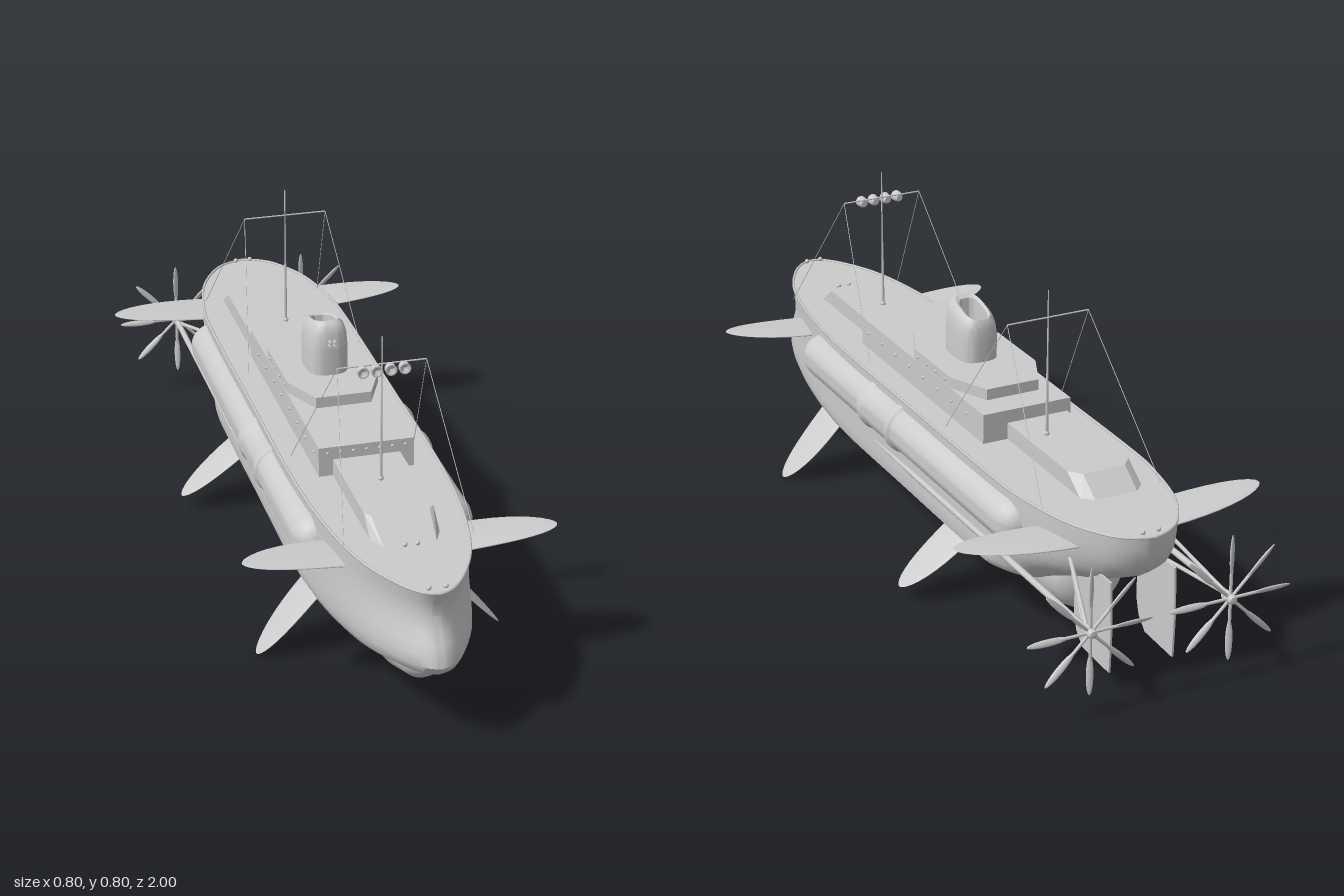
import * as THREE from 'three';
import { toCreasedNormals } from 'three/addons/utils/BufferGeometryUtils.js';
import { ConvexGeometry } from 'three/addons/geometries/ConvexGeometry.js';

const V = (x, y, z) => new THREE.Vector3(x, y, z);

// Skin stacked rings of equal point count, closed by a fan at each end
function loft(rings, crease = 0.7) {
  const n = rings[0].length, pos = [], idx = [];
  rings.forEach(r => r.forEach(p => pos.push(p.x, p.y, p.z)));
  for (let k = 0; k < rings.length - 1; k++) {
    for (let i = 0; i < n; i++) {
      const a = k * n + i, b = k * n + (i + 1) % n;
      idx.push(a, b, a + n, b, b + n, a + n);
    }
  }
  [[0, true], [rings.length - 1, false]].forEach(([k, flip]) => {
    const c = V(0, 0, 0);
    rings[k].forEach(p => c.addScaledVector(p, 1 / n));
    const ci = pos.length / 3;
    pos.push(c.x, c.y, c.z);
    for (let i = 0; i < n; i++) {
      const a = k * n + i, b = k * n + (i + 1) % n;
      if (flip) idx.push(ci, b, a); else idx.push(ci, a, b);
    }
  });
  const g = new THREE.BufferGeometry();
  g.setAttribute('position', new THREE.Float32BufferAttribute(pos, 3));
  g.setIndex(idx);
  return toCreasedNormals(g, crease);
}

// Body of revolution along z from [radius, z] points, z rising
function spun(profile, segs = 40) {
  const g = new THREE.LatheGeometry(profile.map(p => new THREE.Vector2(p[0], p[1])), segs);
  return toCreasedNormals(g.rotateX(Math.PI / 2), 0.6);
}

// Half outline of the deck, [half width, z] from bow to stern
const PLAN = [[0, 0.97], [0.035, 0.955], [0.078, 0.9], [0.125, 0.8], [0.157, 0.66], [0.175, 0.5], [0.183, 0.3],
  [0.183, 0], [0.183, -0.5], [0.172, -0.65], [0.142, -0.79], [0.09, -0.89], [0.045, -0.93], [0, -0.945]];

// Waterline ring with its own bow, stern and beam
function hullRing(y, bow, stern, beam) {
  const half = new THREE.SplineCurve(PLAN.map(p => new THREE.Vector2(p[0], p[1]))).getPoints(52);
  const fit = z => z > 0.3 ? 0.3 + (z - 0.3) * (bow - 0.3) / 0.67
    : z < -0.4 ? -0.4 + (z + 0.4) * (stern + 0.4) / -0.545 : z;
  const right = half.map(p => V(Math.max(0, p.x) * beam, y, fit(p.y)));
  const left = right.slice(1, -1).reverse().map(p => V(-p.x, y, p.z));
  return right.concat(left);
}

// Rounded-rectangle ring, optionally sloping in z
function roundRing(y, hx, hz, cz, slope = 0) {
  const pts = [], f = v => Math.sign(v) * Math.abs(v) ** 0.65;
  for (let i = 0; i < 40; i++) {
    const t = i / 40 * Math.PI * 2, z = cz + hz * f(Math.cos(t));
    pts.push(V(hx * f(Math.sin(t)), y + slope * (z + 0.03), z));
  }
  return pts;
}

// Flat-faced block between a lower and an upper outline of [half width, z]
function block(y0, low, y1, high) {
  const pts = [];
  low.forEach(([x, z]) => pts.push(V(x, y0, z), V(-x, y0, z)));
  high.forEach(([x, z]) => pts.push(V(x, y1, z), V(-x, y1, z)));
  return new ConvexGeometry(pts);
}

// Rounded blade from root to tip, swept slightly forward
function finGeometry(root, tip, chord, thick, sweep) {
  const d = tip.clone().sub(root), g = new THREE.SphereGeometry(1, 28, 20).rotateZ(-Math.PI / 2);
  const p = g.attributes.position, span = d.length();
  for (let i = 0; i < p.count; i++) {
    const x = p.getX(i), s = Math.max(x, 0);
    const full = Math.sqrt(Math.max(1e-9, 1 - x * x));
    const k = Math.max(0, 1 - s ** 2.6) ** 0.55 / full;
    p.setXYZ(i, x < 0 ? x * 0.02 : s * span, p.getY(i) * thick * (1 - 0.4 * s),
      p.getZ(i) * (x < 0 ? 1 : k) * chord / 2 + sweep * s * s);
  }
  g.computeVertexNormals();
  return g.rotateZ(Math.atan2(d.y, d.x)).translate(root.x, root.y, root.z);
}

export function createModel() {
  const model = new THREE.Group();
  const mat = new THREE.MeshStandardMaterial({ color: 0xcccccc, side: THREE.DoubleSide });
  const flat = new THREE.MeshStandardMaterial({ color: 0xcccccc, flatShading: true });
  const add = (name, geo, m = mat, parent = model) => {
    const mesh = new THREE.Mesh(geo, m);
    mesh.name = name;
    parent.add(mesh);
    return mesh;
  };
  const rod = (name, a, b, r0, r1 = r0, parent = model) => {
    const d = b.clone().sub(a);
    const mesh = add(name, new THREE.CylinderGeometry(r1, r0, d.length(), 8), mat, parent);
    mesh.position.copy(a).addScaledVector(d, 0.5);
    mesh.quaternion.setFromUnitVectors(V(0, 1, 0), d.normalize());
    return mesh;
  };
  const ball = (name, r, x, y, z) => add(name, new THREE.SphereGeometry(r, 12, 8)).position.set(x, y, z);

  // Hull with a bulging forefoot and a raked counter stern: y, bow, stern, beam
  const levels = [[0.14, 0.64, -0.58, 0.72], [0.147, 0.76, -0.61, 0.9], [0.158, 0.86, -0.63, 0.98], [0.175, 0.93, -0.66, 1],
    [0.195, 0.98, -0.7, 1], [0.22, 1, -0.76, 1], [0.245, 0.995, -0.83, 1], [0.27, 0.982, -0.88, 1],
    [0.295, 0.965, -0.912, 1], [0.33, 0.952, -0.935, 1], [0.365, 0.957, -0.943, 1], [0.395, 0.97, -0.945, 1]];
  add('hull', loft(levels.map(l => hullRing(...l))));
  const edge = new THREE.CatmullRomCurve3(hullRing(0.396, 0.969, -0.944, 0.995), true);
  add('deckRim', new THREE.TubeGeometry(edge, 200, 0.0035, 6, true));

  // Round pod under the keel, with its band
  add('keelPod', spun([[0, -0.685], [0.04, -0.683], [0.07, -0.672], [0.09, -0.65], [0.101, -0.61], [0.104, -0.56],
    [0.104, 0.14], [0.116, 0.145], [0.117, 0.165], [0.111, 0.18], [0.111, 0.33], [0.117, 0.345], [0.116, 0.365],
    [0.104, 0.37], [0.103, 0.58], [0.096, 0.68], [0.08, 0.78], [0.055, 0.86], [0.025, 0.9], [0, 0.91]])).position.y = 0.17;

  // Deckhouses
  add('foreHouse', block(0.39, [[0.083, 0.34], [0.083, 0.7], [0.062, 0.745]],
    0.437, [[0.083, 0.34], [0.083, 0.64], [0.07, 0.655]]), flat);
  add('aftHouse', block(0.39, [[0.081, -0.3], [0.081, -0.7], [0.055, -0.725]],
    0.437, [[0.081, -0.3], [0.081, -0.63], [0.055, -0.66]]), flat).position.x = -0.028;
  const mid = [[0.118, 0.365], [0.118, -0.33]];
  add('midHouse', block(0.39, mid, 0.47, mid), flat);
  const top = [[0.07, 0.155], [0.117, 0.05], [0.117, -0.15], [0.07, -0.255]];
  add('bridgeHouse', block(0.465, top, 0.498, top), flat);
  for (let i = -3; i <= 3; i++) ball('foreWindow', 0.004, i * 0.032, 0.455, 0.365);
  for (const s of [1, -1]) {
    for (let i = 0; i < 8; i++) ball('sideWindow', 0.004, s * 0.118, 0.44, 0.32 - i * 0.08);
    for (let i = 0; i < 4; i++) ball('bridgeWindow', 0.004, s * 0.117, 0.483, 0.03 - i * 0.05);
    ball('houseLamp', 0.006, s * 0.015, 0.402, 0.745);
    ball('bowPost', 0.006, s * 0.02, 0.404, 0.95);
    ball('sternPost', 0.006, s * 0.02, 0.404, -0.925);
  }

  // Hollow funnel with a raked lip
  add('funnel', loft([roundRing(0.49, 0.052, 0.07, -0.03), roundRing(0.56, 0.052, 0.072, -0.03, 0.05),
    roundRing(0.595, 0.048, 0.07, -0.03, 0.2), roundRing(0.615, 0.041, 0.064, -0.033, 0.25),
    roundRing(0.624, 0.032, 0.055, -0.037, 0.27), roundRing(0.62, 0.026, 0.046, -0.042, 0.27),
    roundRing(0.56, 0.024, 0.042, -0.042, 0.1)]));
  for (const s of [1, -1]) {
    for (const y of [0.58, 0.59]) rod('horn', V(s * 0.006, y, 0.03), V(s * 0.006, y + 0.003, 0.062), 0.002, 0.005);
  }

  // Masts, yards and rigging
  for (const [name, z, stays] of [['foreMast', 0.49, [0.73, 0.24]], ['aftMast', -0.43, [-0.7, -0.2]]]) {
    const g = new THREE.Group();
    g.name = name;
    model.add(g);
    rod('lowerMast', V(0, 0.43, z), V(0, 0.6, z), 0.004, 0.003, g);
    rod('topMast', V(0, 0.6, z), V(0, 0.805, z), 0.0025, 0.0015, g);
    rod('yard', V(-0.107, 0.737, z), V(0.107, 0.737, z), 0.002, 0.002, g);
    ball('mastFoot', 0.007, 0, 0.44, z);
    for (const s of [1, -1]) {
      for (const e of stays) rod('stay', V(s * 0.107, 0.737, z), V(s * 0.155, 0.395, e), 0.0009, 0.0009, g);
    }
  }
  for (const x of [-0.05, -0.017, 0.017, 0.05]) {
    add('searchlight', spun([[0, -0.014], [0.008, -0.012], [0.013, -0.004], [0.014, 0.012], [0.011, 0.012], [0, 0.004]], 16))
      .position.set(x, 0.728, 0.5);
  }

  // Mirrored underwater gear
  const rudder = new THREE.Shape([[0.735, 0.28], [0.732, 0.13], [0.745, 0.085], [0.775, 0.055], [0.9, 0.05], [0.905, 0.16],
    [0.9, 0.28]].map(p => new THREE.Vector2(...p)));
  for (const s of [1, -1]) {
    const side = s > 0 ? 'left' : 'right';
    // Side tank with swollen band
    const cap = [0, 0.2, 0.4, 0.6, 0.8, 1].map(t => t * Math.PI / 2);
    add(side + 'Tank', spun([...cap.map(t => [0.06 * Math.sin(t), -0.58 - 0.06 * Math.cos(t)]),
      [0.06, -0.022], [0.066, -0.016], [0.067, 0], [0.062, 0.012], [0.062, 0.135], [0.067, 0.147], [0.066, 0.163], [0.06, 0.168],
      ...cap.slice().reverse().map(t => [0.06 * Math.sin(t), 0.5 + 0.06 * Math.cos(t)])]))
      .position.set(s * 0.162, 0.316, 0);

    // Fins: root, tip, chord, half thickness, sweep
    const fins = [
      ['UpperForeFin', V(0.13, 0.343, 0.645), V(0.378, 0.361, 0.645), 0.132, 0.009, 0.022],
      ['UpperAftFin', V(0.12, 0.343, -0.755), V(0.4, 0.362, -0.755), 0.136, 0.009, 0.015],
      ['LowerForeFin', V(0.155, 0.17, 0.465), V(0.304, 0.002, 0.465), 0.125, 0.008, 0.015],
      ['LowerAftFin', V(0.15, 0.17, -0.293), V(0.322, 0.037, -0.293), 0.125, 0.008, 0.01]];
    for (const [name, root, tip, ...rest] of fins) {
      const g = finGeometry(root, tip, ...rest);
      if (s < 0) g.rotateY(Math.PI).scale(1, 1, 1);
      const mesh = add(side + name, g);
      // Turned fins keep their place and sweep along the hull
      if (s < 0) {
        g.rotateY(Math.PI);
        mesh.scale.x = -1;
      }
    }

    add(side + 'Rudder', new THREE.ExtrudeGeometry(rudder, { depth: 0.005, bevelEnabled: false })
      .rotateY(Math.PI / 2).translate(s * 0.083 - 0.0025, 0, 0));

    // Shaft, braces and eight-bladed propeller
    rod(side + 'Shaft', V(s * 0.183, 0.22, 0.15), V(s * 0.183, 0.22, -0.1), 0.002, 0.008);
    rod(side + 'Shaft', V(s * 0.183, 0.22, -0.1), V(s * 0.183, 0.22, -0.99), 0.008);
    rod(side + 'UpperBrace', V(s * 0.13, 0.305, -0.79), V(s * 0.18, 0.225, -0.96), 0.005);
    rod(side + 'LowerBrace', V(s * 0.11, 0.25, -0.77), V(s * 0.18, 0.22, -0.95), 0.005);
    const prop = new THREE.Group();
    prop.name = side + 'Propeller';
    prop.position.set(s * 0.181, 0.218, -0.982);
    model.add(prop);
    add('hub', spun([[0, -0.018], [0.009, -0.015], [0.013, 0], [0.012, 0.022], [0, 0.024]], 16), mat, prop);
    for (let i = 0; i < 8; i++) {
      const blade = new THREE.SphereGeometry(1, 12, 10).scale(0.0085, 0.052, 0.004).rotateY(0.5).translate(0, 0.108, 0);
      add('blade', blade, mat, prop).rotation.z = i * Math.PI / 4;
      rod('bladeStem', V(0, 0, 0), V(0, 0.075, 0).applyAxisAngle(V(0, 0, 1), i * Math.PI / 4), 0.004, 0.004, prop);
    }
  }
  return model;
}
